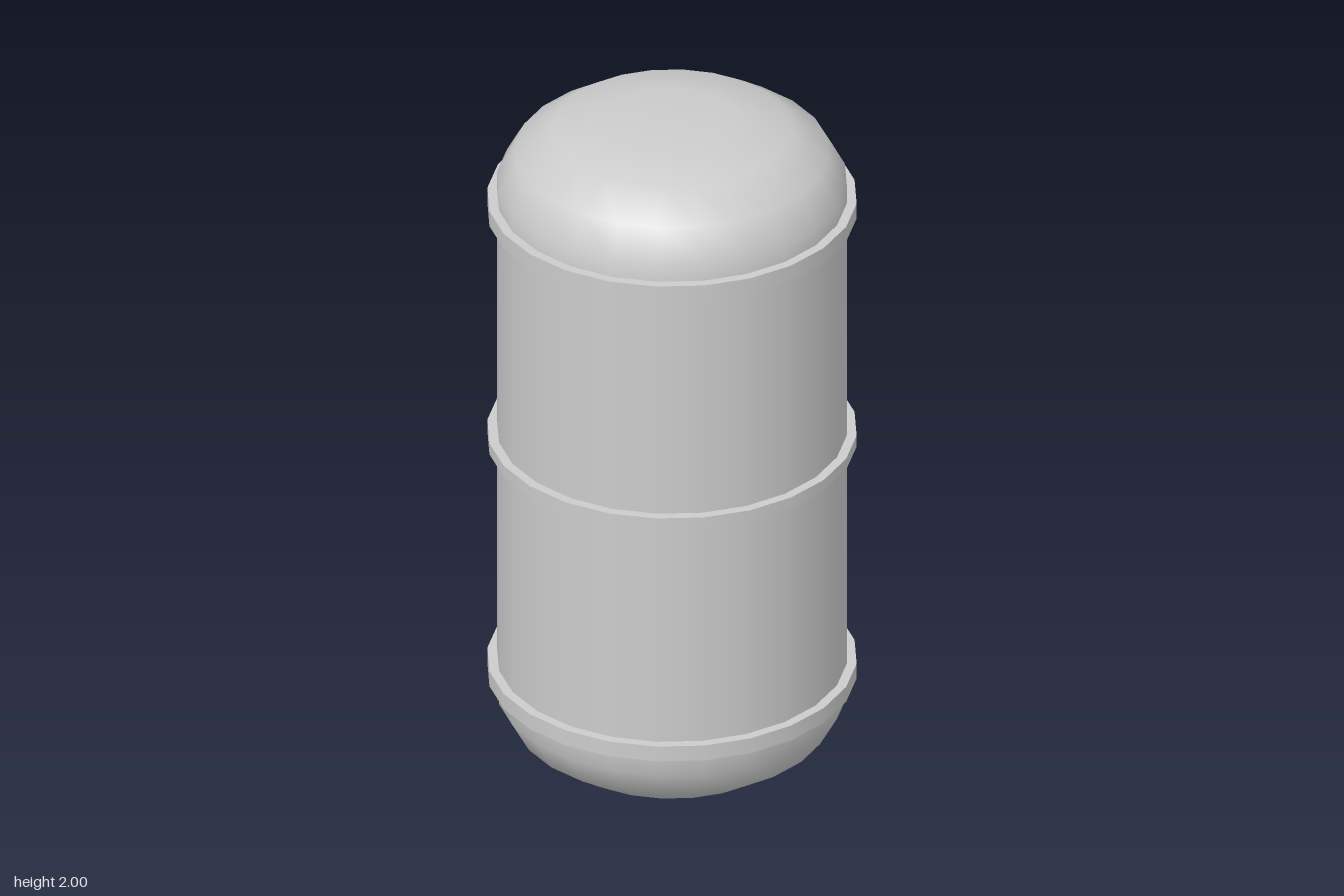
import * as THREE from 'three';

const SIDES = 24;
const BODY_RADIUS = 0.485;
const BAND_RADIUS = 0.512;

export function createModel() {
  const model = new THREE.Group();
  model.name = 'tank';
  const material = new THREE.MeshStandardMaterial({ color: 0xcccccc });

  const add = (name, geometry, y = 0) => {
    const mesh = new THREE.Mesh(geometry, material);
    mesh.name = name;
    mesh.position.y = y;
    model.add(mesh);
  };

  // Rounded end cap, given as [radius, distance from the tank's end]
  const capProfile = [[BODY_RADIUS, 0.27], [BODY_RADIUS, 0.19], [0.435, 0.1], [0.33, 0.029], [0.18, 0.002], [0, 0]];
  const topPoints = capProfile.map(([r, d]) => new THREE.Vector2(r, 2 - d));
  const bottomPoints = capProfile.map(([r, d]) => new THREE.Vector2(r, d)).reverse();
  add('topCap', new THREE.LatheGeometry(topPoints, SIDES));
  add('bottomCap', new THREE.LatheGeometry(bottomPoints, SIDES));

  // Straight wall between the caps
  add('body', new THREE.CylinderGeometry(BODY_RADIUS, BODY_RADIUS, 1.46, SIDES, 1, true), 1);

  // Raised hoops: a thin one in the middle, wider ones over the cap seams
  const bands = [['upperBand', 1.733, 0.047], ['middleBand', 1.003, 0.035], ['lowerBand', 0.273, 0.047]];
  for (const [name, y, height] of bands) {
    add(name, new THREE.CylinderGeometry(BAND_RADIUS, BAND_RADIUS, height, SIDES), y);
  }

  return model;
}
